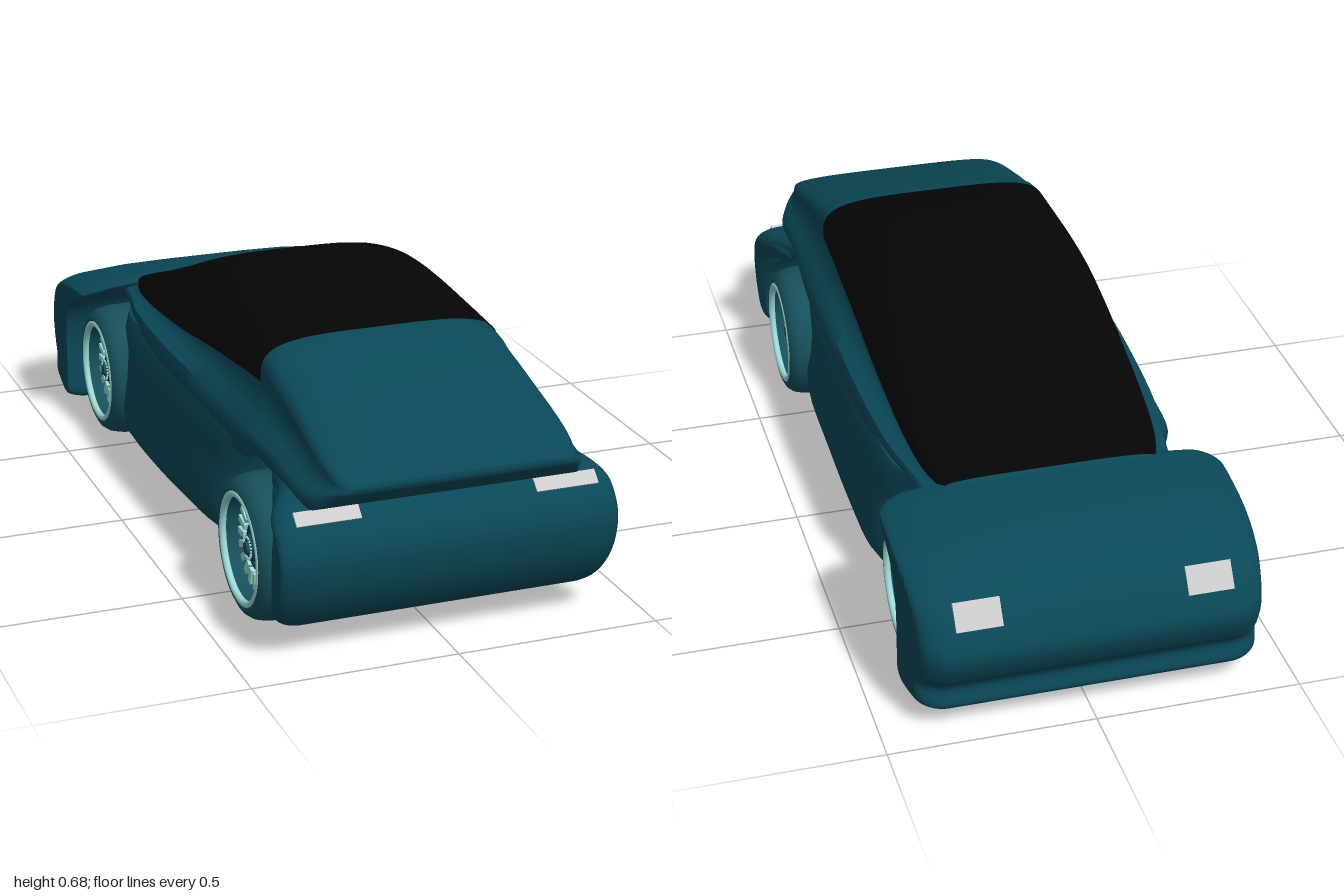
import * as THREE from 'three';
import { toCreasedNormals } from 'three/addons/utils/BufferGeometryUtils.js';

const mat = (color, extra = {}) => new THREE.MeshStandardMaterial({ color, ...extra });
const paint = mat(0x0a4857), black = mat(0x050505, { side: THREE.DoubleSide });
const lamp = mat(0xcccccc), chrome = mat(0x9fdcd8), rubber = mat(0x17505c), dark = mat(0x0c3f4b);

function mesh(name, geometry, material) {
  const m = new THREE.Mesh(geometry, material);
  m.name = name;
  return m;
}

// Skin a list of rings {t, pts}; map(t, a, b) gives the position. Closed rings get end caps.
function loft(rings, map, closed = true, crease = 0.8) {
  const n = rings[0].pts.length, pos = [], tris = [];
  rings.forEach(({ t, pts }) => pts.forEach(([a, b]) => pos.push(map(t, a, b))));
  for (let i = 0; i < rings.length - 1; i++) {
    for (let j = 0; j < (closed ? n : n - 1); j++) {
      const a = i * n + j, b = i * n + (j + 1) % n;
      tris.push([a, b, a + n], [b, b + n, a + n]);
    }
  }
  if (closed) {
    [0, rings.length - 1].forEach((r) => {
      const pts = rings[r].pts.map(([a, b]) => new THREE.Vector2(a, b));
      const ccw = THREE.ShapeUtils.area(pts) > 0;
      THREE.ShapeUtils.triangulateShape(pts, []).forEach((f) => {
        // start cap winds against the ring, end cap along it
        let [a, b, c] = f;
        const area = (pts[b].x - pts[a].x) * (pts[c].y - pts[a].y) - (pts[b].y - pts[a].y) * (pts[c].x - pts[a].x);
        if ((area > 0) !== ccw) [b, c] = [c, b];
        if (r === 0) [b, c] = [c, b];
        tris.push([a + r * n, b + r * n, c + r * n]);
      });
    });
  }
  const v = pos.map((p) => new THREE.Vector3(...p));
  const volume = tris.reduce((s, [a, b, c]) => s + v[a].dot(v[b].clone().cross(v[c])), 0);
  const g = new THREE.BufferGeometry();
  g.setAttribute('position', new THREE.Float32BufferAttribute(pos.flat(), 3));
  g.setIndex(tris.flatMap(([a, b, c]) => (volume > 0 ? [a, b, c] : [a, c, b])));
  return toCreasedNormals(g, crease);
}

// Smoothly interpolate the rows of a table
function smoothRows(rows, steps) {
  const out = [];
  for (let i = 0; i < rows.length - 1; i++) {
    const p = [rows[Math.max(i - 1, 0)], rows[i], rows[i + 1], rows[Math.min(i + 2, rows.length - 1)]];
    for (let k = 0; k < steps; k++) {
      const t = k / steps;
      out.push(p[1].map((_, c) => {
        const m0 = (p[2][c] - p[0][c]) / 2, m1 = (p[3][c] - p[1][c]) / 2, d = p[1][c] - p[2][c];
        return p[1][c] + m0 * t + (-3 * d - 2 * m0 - m1) * t * t + (2 * d + m0 + m1) * t ** 3;
      }));
    }
  }
  out.push(rows[rows.length - 1]);
  return out;
}

// Smooth closed outline through [a, b] points
const outline = (pts, n) => new THREE.CatmullRomCurve3(
  pts.map(([a, b]) => new THREE.Vector3(a, b, 0)), true, 'centripetal').getPoints(n).slice(0, n).map((p) => [p.x, p.y]);

const alongZ = (z, x, y) => [x, y, z];

// Arc over the roof from belt line to belt line
function roofArc([, top, belt, w], grow = 0) {
  const pts = [];
  for (let i = 0; i <= 36; i++) {
    const a = (i / 36) * Math.PI, c = Math.cos(a), s = Math.sin(a);
    pts.push([(w + grow) * Math.sign(c) * Math.abs(c) ** 0.5, belt + (top + grow - belt) * s ** 0.55]);
  }
  return pts;
}

function shellSection(row) {
  const [, , belt, w, ws, ys, yb] = row;
  const skirt = [[w + (ws - w) * 0.12, belt + (ys - belt) * 0.4], [w + (ws - w) * 0.45, belt + (ys - belt) * 0.75],
    [w + (ws - w) * 0.85, ys], [ws, ys + (yb - ys) * 0.4], [ws - 0.01, yb]];
  return [...roofArc(row), ...skirt.map(([x, y]) => [-x, y]), ...skirt.reverse()];
}

// Piece whose side outline runs across the car. Toward the rounded ends the outline shrinks
// about its centre by pull (z, y); shape(x, y, z) then bends the whole piece.
function crossPiece(profile, half, [cz, cy], pull, shape) {
  const right = [];
  for (let i = 0; i <= 10; i++) {
    const a = (i / 10) * Math.PI / 2;
    right.push([1 - 0.17 * (1 - Math.cos(a)), 1 - Math.sin(a)]);
  }
  right.push([0.55, 0], [0.28, 0]);
  const all = [...right, [0, 0], ...right.map(([x, s]) => [-x, s]).reverse()];
  const pts = outline(profile, 80);
  return loft(all.map(([x, s]) => ({
    t: x * half,
    pts: pts.map(([z, y]) => [cz + (z - cz) * (1 - pull[0] * s), cy + (y - cy) * (1 - pull[1] * s)]),
  })), (x, z, y) => shape(x, y, z));
}

function makeWheel(hw) {
  const wheel = new THREE.Group();
  const add = (name, geo, material, y = 0) => {
    const m = mesh(name, geo, material);
    m.position.y = y;
    wheel.add(m);
    return m;
  };
  // Tyre and rim dished on both sides
  const half = [[0.176, 0.035], [0.174, hw - 0.045], [0.168, hw - 0.022], [0.157, hw - 0.007], [0.143, hw],
    [0.13, hw - 0.004], [0.121, hw - 0.05], [0, hw - 0.05]];
  const profile = [...half.map(([r, y]) => new THREE.Vector2(r, -y)).reverse(), ...half.map((p) => new THREE.Vector2(...p))];
  add('tyre', toCreasedNormals(new THREE.LatheGeometry(profile, 48), 0.6), rubber);
  const ring = (name, r, tube, material, y) => {
    add(name, new THREE.TorusGeometry(r, tube, 8, 48), material, y).rotation.x = Math.PI / 2;
  };
  ring('outerRimEdge', 0.131, 0.009, chrome, hw - 0.007);
  ring('innerRimEdge', 0.131, 0.009, chrome, 0.007 - hw);
  ring('hubRing', 0.052, 0.006, dark, hw - 0.045);
  add('hub', new THREE.CylinderGeometry(0.03, 0.04, 0.03, 24), dark, hw - 0.04);
  add('hubCap', new THREE.CylinderGeometry(0.014, 0.018, 0.01, 16), rubber, hw - 0.022);
  for (let i = 0; i < 20; i++) {
    const a = (i / 20) * Math.PI * 2;
    const spoke = add('spoke', new THREE.BoxGeometry(0.04, 0.014, 0.016), chrome, hw - 0.045);
    spoke.position.x = Math.cos(a) * 0.09;
    spoke.position.z = Math.sin(a) * 0.09;
    spoke.rotation.y = -a;
    const bolt = add('bolt', new THREE.CylinderGeometry(0.003, 0.003, 0.006, 6), chrome, hw - 0.024);
    bolt.position.x = Math.cos(a) * 0.026;
    bolt.position.z = Math.sin(a) * 0.026;
  }
  wheel.rotation.z = -Math.PI / 2;
  const holder = new THREE.Group();
  holder.add(wheel);
  return holder;
}

export function createModel() {
  const car = new THREE.Group();
  car.name = 'car';

  // Upper shell: z, roof top, belt, roof half width, shoulder half width, shoulder height, underside
  const rows = smoothRows([
    [1.0, 0.448, 0.442, 0.255, 0.256, 0.44, 0.438],
    [0.98, 0.468, 0.44, 0.285, 0.291, 0.43, 0.415],
    [0.89, 0.505, 0.46, 0.3, 0.342, 0.41, 0.362],
    [0.72, 0.565, 0.495, 0.3, 0.352, 0.43, 0.38],
    [0.6, 0.602, 0.515, 0.3, 0.357, 0.435, 0.385],
    [0.51, 0.627, 0.53, 0.3, 0.362, 0.435, 0.355],
    [0.16, 0.672, 0.495, 0.3, 0.367, 0.435, 0.35],
    [-0.07, 0.648, 0.465, 0.3, 0.367, 0.43, 0.35],
    [-0.34, 0.545, 0.44, 0.297, 0.35, 0.425, 0.36],
    [-0.5, 0.48, 0.43, 0.285, 0.318, 0.42, 0.39],
    [-0.6, 0.444, 0.425, 0.26, 0.3, 0.415, 0.395],
    [-0.67, 0.425, 0.415, 0.24, 0.28, 0.41, 0.4],
  ], 5);
  car.add(mesh('upperShell', loft(rows.map((r) => ({ t: r[0], pts: shellSection(r) })), alongZ), paint));

  // Glass canopy just above the shell
  const glassRows = rows.filter((r) => r[0] < 0.515 && r[0] > -0.605);
  car.add(mesh('canopy', loft(glassRows.map((r) => ({ t: r[0], pts: roofArc(r, 0.003) })), alongZ, false, 1.2), black));

  // Lower body between the wheels: z, half width, floor height; ends sweep out toward the arches
  const lower = smoothRows([
    [0.47, 0.3, 0.13], [0.455, 0.345, 0.12], [0.37, 0.388, 0.11], [0.1, 0.392, 0.09],
    [-0.15, 0.392, 0.08], [-0.34, 0.386, 0.08], [-0.42, 0.35, 0.08], [-0.44, 0.31, 0.085],
  ], 4).map(([z, w, yb]) => {
    const side = [[0.84, yb], [0.95, yb + 0.01], [0.99, yb + 0.035], [1, yb + 0.08], [0.97, 0.24], [0.945, 0.31],
      [0.945, 0.37], [0.9, 0.405], [0.75, 0.41]].map(([x, y]) => [x * w, y]);
    return { t: z, pts: [...side, ...side.map(([x, y]) => [-x, y]).reverse()] };
  });
  car.add(mesh('lowerBody', loft(lower,
    (z, x, y) => [x, y, z * (1 + 4.5 * Math.max(0, y - 0.22) ** 2)]), paint));

  // Nose with front wheel arches: narrows toward the tip, top edges droop to the fenders
  car.add(mesh('nose', crossPiece([
    [-0.58, 0.438], [-0.75, 0.423], [-0.86, 0.392], [-0.94, 0.345], [-0.98, 0.285], [-1.0, 0.225], [-0.977, 0.16],
    [-0.948, 0.115], [-0.955, 0.068], [-0.92, 0.052], [-0.79, 0.04], [-0.782, 0.1], [-0.78, 0.22], [-0.745, 0.33],
    [-0.69, 0.38], [-0.61, 0.41],
  ], 0.422, [-0.76, 0.3], [0.24, 0.1], (x, y, z) => [
    x * (1 - 0.04 * Math.max(0, (-z - 0.72) / 0.28) ** 2),
    y - 0.025 * (x / 0.42) ** 4 * Math.max(0, (y - 0.25) / 0.15), z]), paint));

  // Rear bumper with arch flanges that narrow forward into the shell
  car.add(mesh('rearBumper', crossPiece([
    [0.68, 0.41], [0.8, 0.4], [0.88, 0.376], [0.925, 0.352], [0.962, 0.3], [0.97, 0.25], [0.945, 0.155],
    [0.882, 0.076], [0.86, 0.08], [0.855, 0.17], [0.825, 0.28], [0.765, 0.36], [0.69, 0.39],
  ], 0.415, [0.88, 0.24], [0.2, 0.28], (x, y, z) => [
    x * (1 - 0.16 * THREE.MathUtils.smoothstep(0.91 - z, 0, 0.18)), y, z]), paint));

  for (const s of [1, -1]) {
    // Lamps
    const head = mesh('headlight', new THREE.BoxGeometry(0.11, 0.014, 0.068), lamp);
    head.position.set(s * 0.275, 0.319, -0.956);
    head.rotation.x = -0.96;
    const tail = mesh('tailLight', new THREE.BoxGeometry(0.155, 0.012, 0.036), lamp);
    tail.position.set(s * 0.292, 0.352, 0.92);
    tail.rotation.x = 0.75;
    car.add(head, tail);

    // Wheels
    for (const [name, x, z, hw] of [['rearWheel', 0.308, 0.647, 0.101], ['frontWheel', 0.288, -0.617, 0.094]]) {
      const wheel = makeWheel(hw);
      wheel.name = name;
      wheel.position.set(s * x, 0.176, z);
      if (s < 0) wheel.rotation.y = Math.PI;
      car.add(wheel);
    }
  }
  return car;
}
